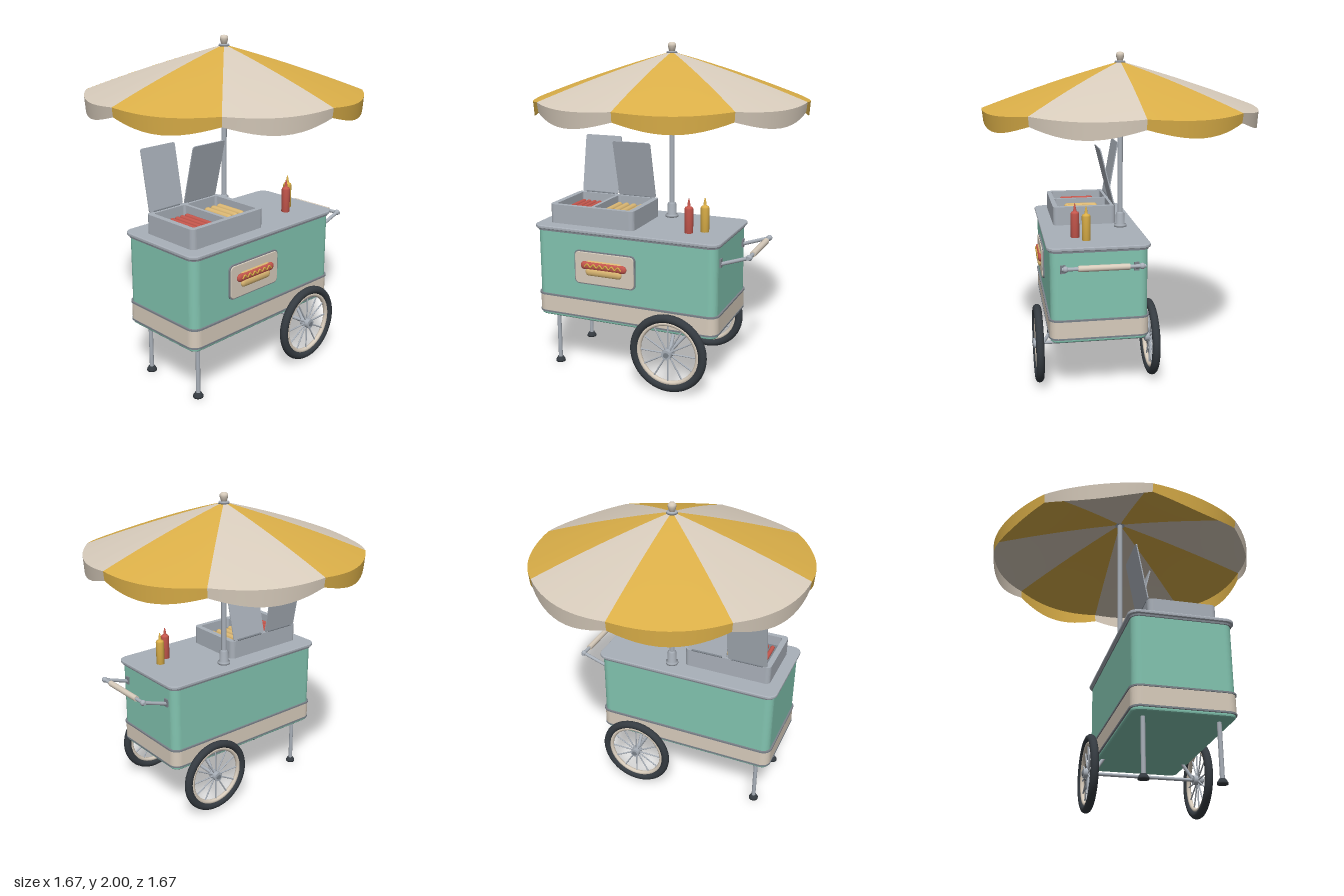
import * as THREE from 'three';

const mat = (name, color, side = THREE.FrontSide) => {
  const m = new THREE.MeshStandardMaterial({ color, side });
  m.name = name;
  return m;
};

export function createModel() {
  const root = new THREE.Group();
  root.name = 'foodCart';
  const teal = mat('teal', 0x82c4b0);
  const cream = mat('cream', 0xd8ccbc, THREE.DoubleSide);
  const yellow = mat('yellow', 0xdbaf48, THREE.DoubleSide);
  const steel = mat('steel', 0xa9b0b9);
  const trim = mat('darkSteel', 0x7b828a);
  const rubber = mat('rubber', 0x353b41);
  const red = mat('red', 0xc6574d);
  const bun = mat('bun', 0xdcb873);

  const add = (name, geo, material, x = 0, y = 0, z = 0, parent = root) => {
    const m = new THREE.Mesh(geo, material);
    m.name = name;
    m.position.set(x, y, z);
    parent.add(m);
    return m;
  };

  // Rounded rectangle, centred on (cx, cy)
  const roundRect = (w, h, r, cx = 0, cy = 0, Type = THREE.Shape) => {
    const s = new Type(), a = w / 2, b = h / 2;
    s.absarc(cx + a - r, cy + b - r, r, 0, Math.PI / 2);
    s.absarc(cx - a + r, cy + b - r, r, Math.PI / 2, Math.PI);
    s.absarc(cx - a + r, cy - b + r, r, Math.PI, Math.PI * 1.5);
    s.absarc(cx + a - r, cy - b + r, r, Math.PI * 1.5, Math.PI * 2);
    s.closePath();
    return s;
  };
  const extrude = (shape, depth, bevel = 0) => {
    const g = new THREE.ExtrudeGeometry(shape, {
      depth: depth - 2 * bevel, curveSegments: 6, bevelEnabled: bevel > 0,
      bevelSize: bevel, bevelOffset: -bevel, bevelThickness: bevel, bevelSegments: 3,
    });
    return g.translate(0, 0, bevel);
  };

  // Horizontal rounded slab on the cart body's centre
  const CX = -0.118, CZ = 0.195;
  const slab = (name, w, d, y0, y1, r, material, bevel = 0) =>
    add(name, extrude(roundRect(w, d, r), y1 - y0, bevel).rotateX(-Math.PI / 2), material, CX, y0, CZ);

  // Straight rod between two points
  const rod = (name, a, b, r, material, parent = root) => {
    const p = new THREE.Vector3(...a), q = new THREE.Vector3(...b), d = q.clone().sub(p);
    const m = add(name, new THREE.CylinderGeometry(r, r, d.length(), 14), material, 0, 0, 0, parent);
    m.position.copy(p).add(q).multiplyScalar(0.5);
    m.quaternion.setFromUnitVectors(new THREE.Vector3(0, 1, 0), d.normalize());
    return m;
  };
  const lathe = (pts, n = 20) => new THREE.LatheGeometry(pts.map(p => new THREE.Vector2(...p)), n);

  // Cart body, band and counter
  slab('body', 1.16, 0.575, 0.34, 0.9, 0.05, teal, 0.012);
  slab('lowerBand', 1.172, 0.587, 0.37, 0.475, 0.056, cream);
  slab('bandTrimTop', 1.182, 0.597, 0.472, 0.482, 0.06, trim);
  slab('bandTrimBottom', 1.178, 0.593, 0.36, 0.37, 0.06, trim);
  slab('counterLip', 1.172, 0.587, 0.885, 0.9, 0.055, trim);
  slab('counter', 1.196, 0.61, 0.897, 0.918, 0.06, steel, 0.006);

  // Legs with rubber feet
  for (const z of [CZ - 0.212, CZ + 0.212]) {
    rod('leg', [-0.605, 0.02, z], [-0.605, 0.35, z], 0.013, steel);
    add('foot', lathe([[0, 0], [0.03, 0], [0.03, 0.01], [0.018, 0.03], [0, 0.03]]), rubber, -0.605, 0, z);
  }

  // Wheels, axle and struts
  const WX = 0.195, WY = 0.245;
  rod('axle', [WX, WY, CZ - 0.37], [WX, WY, CZ + 0.37], 0.011, steel);
  for (const s of [-1, 1]) {
    const wheel = new THREE.Group();
    wheel.name = 'wheel';
    wheel.position.set(WX, WY, CZ + s * 0.35);
    root.add(wheel);
    add('tyre', new THREE.TorusGeometry(0.2145, 0.025, 14, 48), rubber, 0, 0, 0, wheel);
    add('rim', new THREE.TorusGeometry(0.185, 0.014, 10, 48), cream, 0, 0, 0, wheel);
    rod('hub', [0, 0, -0.03], [0, 0, 0.03], 0.03, steel, wheel);
    rod('hubCap', [0, 0, -0.036], [0, 0, 0.036], 0.016, trim, wheel);
    for (let i = 0; i < 12; i++) {
      const a = (i * Math.PI) / 6, c = Math.cos(a), n = Math.sin(a);
      rod('spoke', [c * 0.02, n * 0.02, 0], [c * 0.182, n * 0.182, 0], 0.0045, steel, wheel);
    }
    rod('axleStrut', [WX, WY, CZ + s * 0.32], [WX, 0.35, CZ + s * 0.25], 0.011, steel);
  }

  // Push handle
  for (const s of [-1, 1]) {
    const z = CZ + s * 0.215;
    rod('handleArm', [0.455, 0.78, z], [0.632, 0.84, z], 0.011, steel);
    add('handleBracket', new THREE.BoxGeometry(0.012, 0.05, 0.03), trim, 0.466, 0.79, z);
    add('handleJoint', new THREE.SphereGeometry(0.018, 14, 10), steel, 0.632, 0.84, z);
  }
  rod('handleBar', [0.632, 0.84, CZ - 0.235], [0.632, 0.84, CZ + 0.235], 0.011, steel);
  rod('handleGrip', [0.632, 0.84, CZ - 0.145], [0.632, 0.84, CZ + 0.145], 0.018, cream);

  // Food tray with two bins
  const TX = -0.36, TZ = 0.215;
  const tray = roundRect(0.56, 0.4, 0.03);
  for (const s of [-1, 1]) tray.holes.push(roundRect(0.235, 0.34, 0.015, s * 0.128, 0, THREE.Path));
  add('tray', extrude(tray, 0.118).rotateX(-Math.PI / 2), steel, TX, 0.917, TZ);
  add('trayFloor', new THREE.BoxGeometry(0.53, 0.05, 0.37), trim, TX, 0.945, TZ);
  for (let i = 0; i < 5; i++) {
    add('sausage', new THREE.CapsuleGeometry(0.014, 0.2, 4, 10).rotateX(Math.PI / 2), red,
      TX - 0.128 + (i - 2) * 0.038, 0.992, TZ);
  }
  for (let i = 0; i < 4; i++) {
    add('breadRoll', new THREE.CapsuleGeometry(0.02, 0.18, 4, 10).rotateX(Math.PI / 2), bun,
      TX + 0.128 + (i - 1.5) * 0.05, 0.992, TZ);
  }

  // Open lids, one tipped forward and one back
  for (const [x, tilt] of [[-0.492, -0.18], [-0.228, 0.24]]) {
    const lid = add('lid', extrude(roundRect(0.254, 0.372, 0.014, 0, 0.186), 0.007), steel, x, 1.035, 0.018);
    lid.rotation.x = tilt;
    rod('lidHinge', [x - 0.1, 1.037, 0.02], [x + 0.1, 1.037, 0.02], 0.007, trim);
  }

  // Sauce bottles
  const bottle = lathe([[0, 0], [0.026, 0], [0.026, 0.145], [0.022, 0.155], [0.01, 0.16],
    [0.009, 0.17], [0.003, 0.205], [0, 0.205]]);
  add('redSauceBottle', bottle, red, 0.233, 0.917, 0.312);
  add('yellowSauceBottle', bottle, yellow, 0.312, 0.917, 0.254);

  // Front plaque with a sausage in a bun
  const PX = -0.235, PY = 0.684;
  add('plaqueBorder', extrude(roundRect(0.4, 0.21, 0.03), 0.012), trim, PX, PY, 0.48);
  add('plaque', extrude(roundRect(0.386, 0.196, 0.025), 0.016, 0.003), cream, PX, PY, 0.482);
  const capsule = (name, r, len, material, y, z) => {
    const g = new THREE.CapsuleGeometry(r, len, 6, 14).rotateZ(Math.PI / 2).scale(1, 1, 0.55);
    return add(name, g, material, PX, y, z);
  };
  capsule('bunBack', 0.022, 0.2, bun, 0.712, 0.497);
  capsule('plaqueSausage', 0.025, 0.25, red, 0.703, 0.503);
  capsule('bunFront', 0.024, 0.19, bun, 0.665, 0.504);
  const wave = [];
  for (let i = 0; i <= 12; i++) {
    wave.push(new THREE.Vector3(-0.12 + i * 0.02, i % 2 ? 0.01 : -0.008, 0));
  }
  add('mustard', new THREE.TubeGeometry(new THREE.CatmullRomCurve3(wave), 60, 0.005, 6), yellow, PX, 0.706, 0.516);

  // Parasol pole, socket and finial
  rod('pole', [0, 0.91, 0], [0, 1.94, 0], 0.017, steel);
  add('poleSocket', lathe([[0, 0], [0.04, 0], [0.04, 0.014], [0.03, 0.02], [0.027, 0.085], [0.018, 0.095]]),
    steel, 0, 0.917, 0);
  add('finialCollar', lathe([[0, 0], [0.034, 0], [0.03, 0.012], [0, 0.014]]), steel, 0, 1.935, 0);
  add('finial', lathe([[0, 0], [0.015, 0], [0.025, 0.035], [0.025, 0.048], [0.016, 0.058], [0, 0.06]]),
    cream, 0, 1.94, 0);

  // Parasol: eight panels, each with a scalloped valance
  const R = 0.836, STEP = Math.PI / 4;
  const top = (t, u) => 1.943 - 0.225 * t - 0.043 * t * t - 0.016 * t * Math.sin(Math.PI * u);
  const panel = (i, rows, rule) => {
    const g = new THREE.PlaneGeometry(1, 1, 12, rows), p = g.attributes.position;
    for (let k = 0; k < p.count; k++) {
      const u = p.getX(k) + 0.5, [r, y] = rule(u, p.getY(k) + 0.5), a = (i + u) * STEP;
      p.setXYZ(k, Math.sin(a) * r, y, Math.cos(a) * r);
    }
    g.computeVertexNormals();
    return g;
  };
  for (let i = 0; i < 8; i++) {
    const material = i % 2 ? cream : yellow;
    add('canopyPanel', panel(i, 10, (u, v) => [R * (1 - v * 0.995), top(1 - v, u)]), material);
    add('valance', panel(i, 4, (u, v) => {
      const drop = 0.055 + 0.04 * Math.sin(Math.PI * u);
      return [R - 0.006 * (1 - v), top(1, u) - drop * (1 - v)];
    }), material);
  }
  return root;
}
